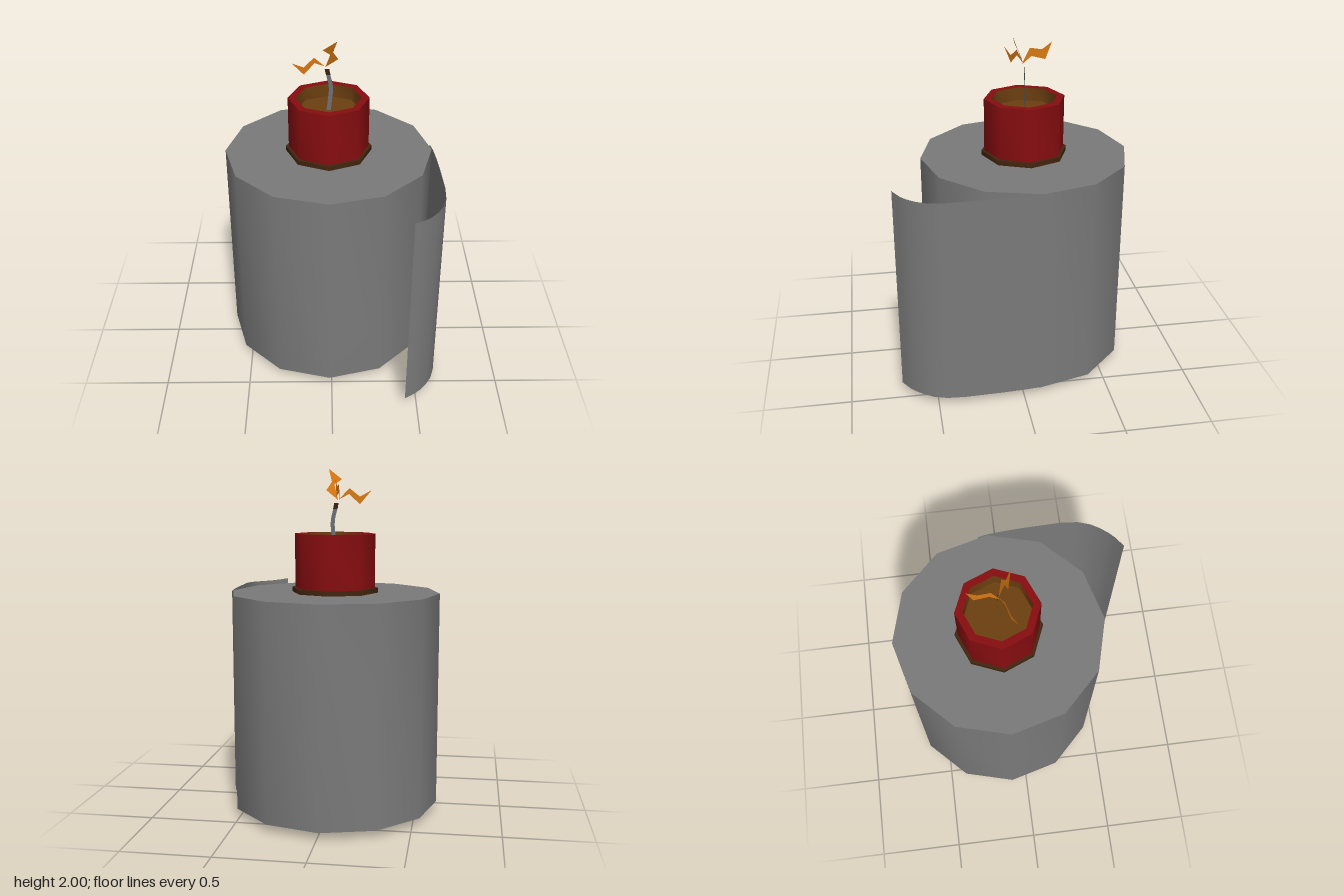
import * as THREE from 'three';
import { toCreasedNormals } from 'three/addons/utils/BufferGeometryUtils.js';

const CX = -0.012, CZ = -0.095; // axis of the roll and the tube

function material(name, color, side = THREE.FrontSide) {
  const m = new THREE.MeshStandardMaterial({ color, side });
  m.name = name;
  return m;
}

export function createModel() {
  const model = new THREE.Group();
  const paper = material('paper grey', 0x7a7a7a, THREE.DoubleSide);
  const red = material('tube red', 0x870d10);
  const brown = material('powder brown', 0x6c3f10);
  const darkBrown = material('cardboard brown', 0x42250e);
  const black = material('hollow black', 0x080808);
  const fuseGrey = material('fuse grey', 0x6c7076, THREE.DoubleSide);
  const charred = material('charred fuse', 0x3a2210, THREE.DoubleSide);
  const orange = material('spark orange', 0xd87814, THREE.DoubleSide);

  function add(name, geometry, mat) {
    const mesh = new THREE.Mesh(geometry, mat);
    mesh.name = name;
    model.add(mesh);
    return mesh;
  }

  // Turned part around the common axis; profile is [radius, y]
  function turned(name, profile, sides, mat) {
    const points = profile.map(([r, y]) => new THREE.Vector2(r, y));
    const geometry = toCreasedNormals(new THREE.LatheGeometry(points, sides), 0.9);
    add(name, geometry, mat).position.set(CX, 0, CZ);
  }

  // Paper roll, with shallow winding steps underneath
  const rollProfile = [[0.22, 0.06]];
  let stepY = 0.06;
  for (const r of [0.38, 0.46, 0.51, 0.56]) {
    rollProfile.push([r, stepY]);
    stepY -= 0.00375;
    rollProfile.push([r, stepY]);
  }
  rollProfile.push([0.61, 0.045], [0.61, 1.29], [0.22, 1.29]);
  turned('paperRoll', rollProfile, 12, paper);

  // Loose end of the paper, peeling forward from the side
  const path = new THREE.CatmullRomCurve3([
    [0.43, 0.7], [0.52, 0.635], [0.612, 0.49], [0.622, 0.19], [0.604, -0.09], [0.592, -0.15],
  ].map(([x, z]) => new THREE.Vector3(x, 0, z)));
  const flap = new THREE.PlaneGeometry(1, 1, 14, 1);
  const fp = flap.attributes.position;
  for (let i = 0; i < fp.count; i++) {
    const t = fp.getX(i) + 0.5;
    const p = path.getPoint(t);
    const sag = 0.01 * Math.max(0, Math.sin(Math.PI * Math.min(1, t * 2)));
    fp.setXYZ(i, p.x, fp.getY(i) > 0 ? 1.29 - sag : 0.052, p.z);
  }
  flap.computeVertexNormals();
  add('loosePaperEnd', flap, paper);

  // Tube through the middle
  turned('redTube', [[0.235, 1.28], [0.235, 1.63], [0.19, 1.63]], 8, red);
  turned('tubeFilling', [[0.19, 1.63], [0.19, 1.55], [0, 1.55]], 8, brown);
  turned('tubeCollar', [[0.252, 1.285], [0.252, 1.318], [0.23, 1.318]], 8, darkBrown);
  turned('tubeFoot', [[0.2, 0], [0.235, 0], [0.235, 0.07]], 8, darkBrown);
  turned('tubeHollow', [[0, 0.6], [0.2, 0.6], [0.2, 0]], 8, black);

  // Fuse: a flat ribbon bending to the side, with a charred tip
  function ribbon(name, centre, halfWidth, mat) {
    const shape = new THREE.Shape([
      ...centre.map(([x, y]) => new THREE.Vector2(x + halfWidth, y)),
      ...centre.slice().reverse().map(([x, y]) => new THREE.Vector2(x - halfWidth, y)),
    ]);
    add(name, new THREE.ShapeGeometry(shape), mat).position.z = CZ;
  }
  ribbon('fuse', [[-0.012, 1.55], [-0.004, 1.62], [0.002, 1.68], [-0.002, 1.72], [-0.014, 1.77]], 0.012, fuseGrey);
  ribbon('fuseTip', [[-0.014, 1.77], [-0.021, 1.805]], 0.013, charred);

  // Sparks: flat zigzags; place() lifts each outline point into space
  function spark(name, outline, place) {
    const geometry = new THREE.ShapeGeometry(new THREE.Shape(outline.map(([u, y]) => new THREE.Vector2(u, y))));
    const p = geometry.attributes.position;
    for (let i = 0; i < p.count; i++) p.setXYZ(i, ...place(p.getX(i), p.getY(i)));
    geometry.computeVertexNormals();
    add(name, geometry, orange);
  }
  spark('upperSpark',
    [[0.035, 2], [-0.045, 1.94], [-0.003, 1.908], [-0.03, 1.82], [0.042, 1.877], [0.013, 1.925]],
    (x, y) => [x, y, -0.09 + (y - 1.82) * 0.4]);
  spark('sideSpark',
    [[-0.215, 1.877], [-0.15, 1.84], [-0.093, 1.888], [-0.033, 1.824], [-0.09, 1.855], [-0.15, 1.797]],
    (x, y) => [x, y, -0.09 - (x + 0.033) * 0.44]);
  spark('rearSpark',
    [[-0.257, 1.94], [-0.2, 1.898], [-0.13, 1.909], [-0.083, 1.813], [-0.14, 1.861], [-0.22, 1.84]],
    (z, y) => [-0.04, y, z]);

  return model;
}
